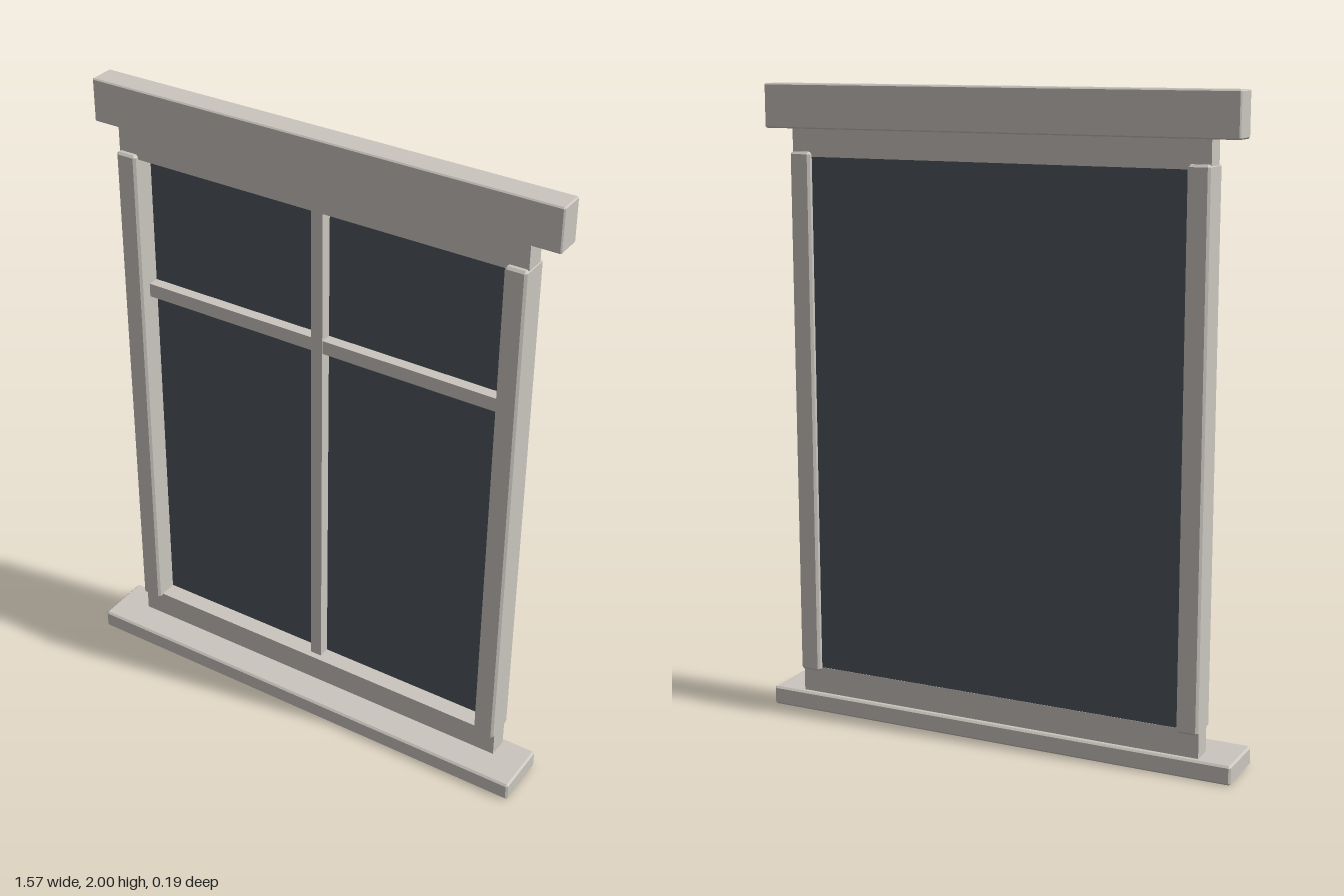
import * as THREE from 'three';
import { ConvexGeometry } from 'three/addons/geometries/ConvexGeometry.js';

const frame = new THREE.MeshStandardMaterial({ color: 0xcac5be });
frame.name = 'stone frame';
const glass = new THREE.MeshStandardMaterial({ color: 0x4e565d });
glass.name = 'dark glass';

// Box between two corners, with all edges chamfered by c when c > 0
function block(name, [x0, y0, z0], [x1, y1, z1], material, c = 0) {
  const size = [x1 - x0, y1 - y0, z1 - z0];
  let geometry;
  if (c > 0) {
    const points = [];
    for (const sx of [-1, 1]) for (const sy of [-1, 1]) for (const sz of [-1, 1]) {
      for (let axis = 0; axis < 3; axis++) {
        // one point per face meeting at this corner
        const p = [sx, sy, sz].map((s, i) => s * (size[i] / 2 - (i === axis ? 0 : c)));
        points.push(new THREE.Vector3(...p));
      }
    }
    geometry = new ConvexGeometry(points);
  } else {
    geometry = new THREE.BoxGeometry(...size);
  }
  const mesh = new THREE.Mesh(geometry, material);
  mesh.name = name;
  mesh.position.set((x0 + x1) / 2, (y0 + y1) / 2, (z0 + z1) / 2);
  return mesh;
}

export function createModel() {
  const model = new THREE.Group();
  model.name = 'window';

  // Sill and header
  model.add(block('sill', [-0.783, 0, -0.093], [0.783, 0.06, 0.093], frame, 0.006));
  model.add(block('header', [-0.765, 1.865, -0.093], [0.765, 2, -0.01], frame, 0.004));

  // Rails between the posts
  model.add(block('bottomRail', [-0.677, 0.055, -0.075], [0.677, 0.145, -0.01], frame));
  model.add(block('topRail', [-0.677, 1.78, -0.075], [0.677, 1.87, -0.01], frame));

  // Side posts, proud of the rails on both faces
  for (const [side, s] of [['left', 1], ['right', -1]]) {
    const cx = s * 0.645;
    model.add(block(side + 'Post', [cx - 0.034, 0.135, -0.092], [cx + 0.034, 1.795, 0.008], frame, 0.007));
  }

  // Glass pane set near the back
  model.add(block('glassPane', [-0.62, 0.14, -0.074], [0.62, 1.785, -0.068], glass));

  // Glazing bars on the front of the glass
  model.add(block('verticalBar', [-0.02, 0.14, -0.069], [0.02, 1.785, -0.031], frame));
  model.add(block('crossBar', [-0.615, 1.308, -0.069], [0.615, 1.352, -0.032], frame));

  return model;
}
